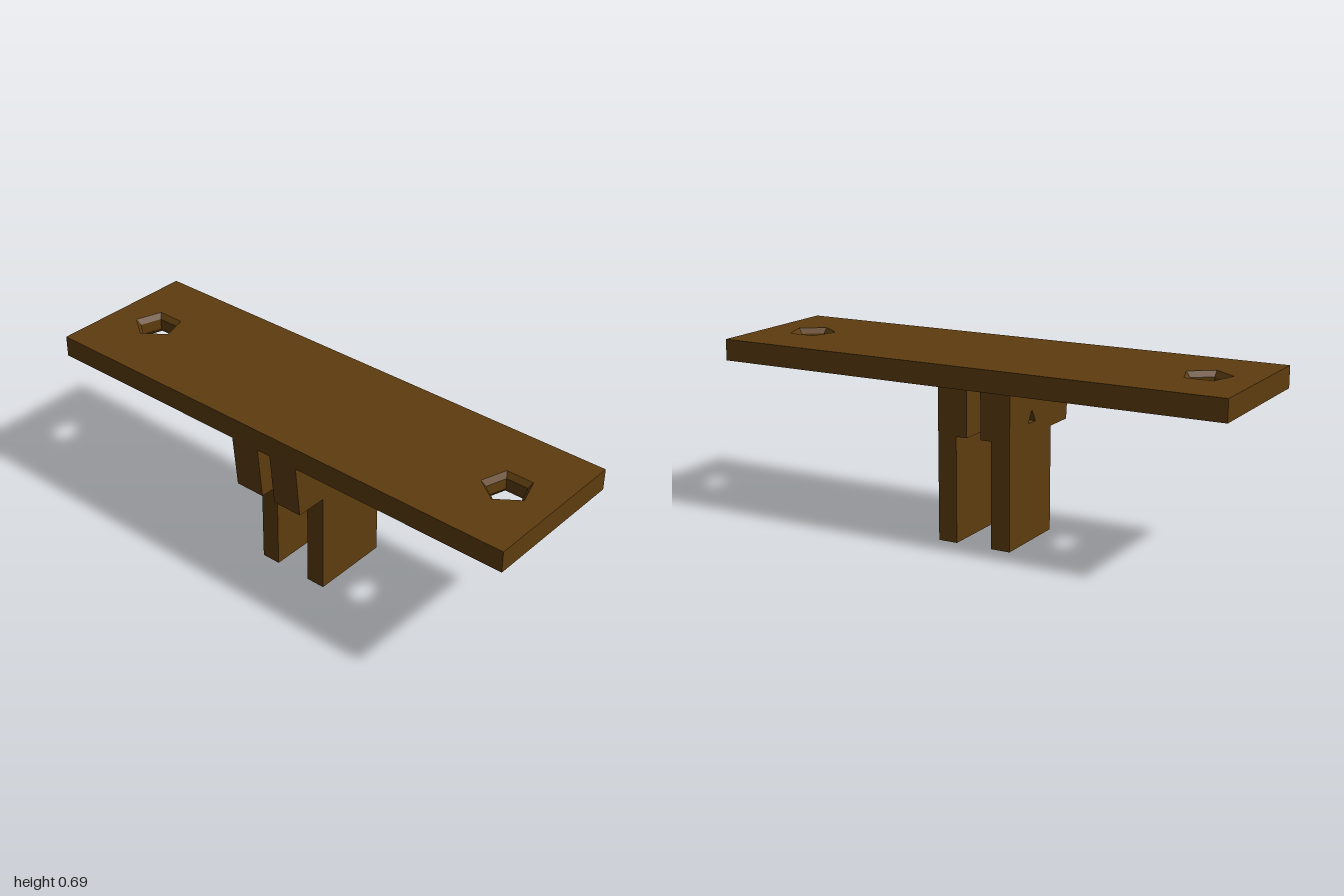
import * as THREE from 'three';

const material = new THREE.MeshStandardMaterial({ color: 0x5e3d0f, flatShading: true });

const PLATE_Y = 0.607, PLATE_H = 0.081, HALF_D = 0.291;
const HOLE_X = 0.81, HOLE_R = 0.09, BORE_R = 0.072, CHAMFER = 0.02;

function part(name, geometry) {
  const mesh = new THREE.Mesh(geometry, material);
  mesh.name = name;
  return mesh;
}

const polygon = (points) => points.map(([a, b]) => new THREE.Vector2(a, b));

// Extrudes a (z, y) side profile along x, between two x positions
function sideProfile(points, x0, x1, hole) {
  const shape = new THREE.Shape(polygon(points));
  if (hole) shape.holes.push(new THREE.Path(polygon(hole)));
  return new THREE.ExtrudeGeometry(shape, { depth: x1 - x0, bevelEnabled: false })
    .rotateY(-Math.PI / 2)
    .translate(x1, 0, 0);
}

export function createModel() {
  const model = new THREE.Group();
  model.name = 'mountingBracket';

  // Top plate with a pentagonal opening near each end
  const outline = new THREE.Shape(polygon([[-1, -HALF_D], [1, -HALF_D], [1, HALF_D], [-1, HALF_D]]));
  for (const side of [-1, 1]) {
    const corners = [];
    for (let i = 0; i < 5; i++) {
      const a = -Math.PI / 2 - (i * 2 * Math.PI) / 5;
      corners.push([side * HOLE_X + HOLE_R * Math.cos(a), HOLE_R * Math.sin(a)]);
    }
    outline.holes.push(new THREE.Path(polygon(corners)));
  }
  const plate = part('topPlate', new THREE.ExtrudeGeometry(outline, { depth: PLATE_H, bevelEnabled: false }));
  plate.geometry.rotateX(-Math.PI / 2);
  plate.position.y = PLATE_Y;
  model.add(plate);

  // Bore of each screw hole, chamfered at both ends
  const bore = polygon([[HOLE_R, PLATE_H], [BORE_R, PLATE_H - CHAMFER], [BORE_R, CHAMFER], [HOLE_R, 0]]);
  for (const side of [-1, 1]) {
    const liner = part('screwHoleBore', new THREE.LatheGeometry(bore, 5));
    liner.position.set(side * HOLE_X, PLATE_Y, 0);
    model.add(liner);
  }

  // Pair of prongs: thick upper block with a pin hole, thin leg below
  const blockProfile = [[-0.165, 0.4], [0.271, 0.4], [HALF_D, PLATE_Y], [-0.165, PLATE_Y]];
  const legProfile = [[-0.165, 0], [0.146, 0], [0.146, 0.4], [-0.165, 0.4]];
  const pinHole = [[-0.027, 0.444], [0, 0.491], [0.027, 0.444]];
  for (const side of [-1, 1]) {
    const prong = new THREE.Group();
    prong.name = side > 0 ? 'leftProng' : 'rightProng';
    const span = (inner, outer) => (side > 0 ? [inner, outer] : [-outer, -inner]);
    prong.add(part('upperBlock', sideProfile(blockProfile, ...span(0.028, 0.147), pinHole)));
    prong.add(part('leg', sideProfile(legProfile, ...span(0.072, 0.147))));
    model.add(prong);
  }

  return model;
}
